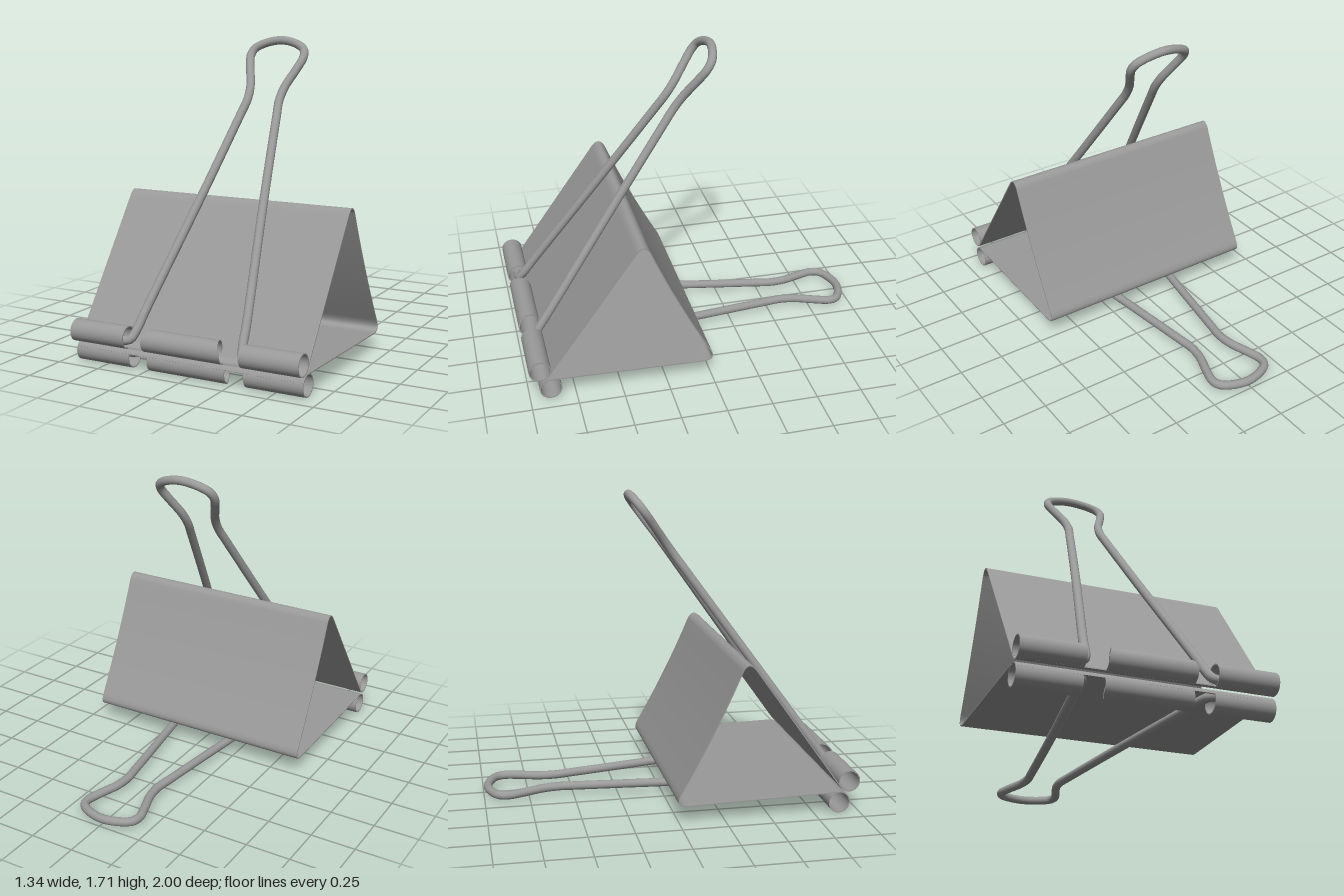
import * as THREE from 'three';

const HALF = 0.67;      // half width of the clip
const R = 0.057;        // radius of the rolled edges
const THICK = 0.006;    // sheet thickness
const WIRE = 0.024;     // handle wire radius
const NOTCH = 65;       // degrees of roll left in the notches
const ROLL = 352;       // degrees of the full roll
const rad = THREE.MathUtils.degToRad;

// rolled edges in (z, y): start angle is where the sheet meets the roll
const upperRoll = { z: 0.941, y: 0.177, start: 215.7, dir: 1 };
const lowerRoll = { z: 0.887, y: 0.06, start: 90, dir: -1 };

function rollPoint(roll, deg) {
  const a = rad(roll.start + roll.dir * deg);
  return [roll.z + R * Math.cos(a), roll.y + R * Math.sin(a)];
}

// solid thin sheet through rows of { p: [z, y], x0, x1 }
function sheet(rows, material, name) {
  const pos = [], index = [];
  // four corners of the cross-section at each row, in loop order
  const corners = rows.map(({ p, x0, x1 }, i) => {
    const a = rows[Math.max(i - 1, 0)].p, b = rows[Math.min(i + 1, rows.length - 1)].p;
    const n = new THREE.Vector2(b[1] - a[1], a[0] - b[0]).setLength(THICK / 2);
    return [[x0, 1], [x1, 1], [x1, -1], [x0, -1]].map(([x, s]) => [x, p[1] + s * n.y, p[0] + s * n.x]);
  });
  const strip = pairs => {
    const start = pos.length / 3;
    pairs.forEach(([u, v], i) => {
      pos.push(...u, ...v);
      if (i > 0) {
        const a = start + 2 * i - 2;
        index.push(a, a + 1, a + 3, a, a + 3, a + 2);
      }
    });
  };
  // two faces and two side edges, then the two ends
  for (let k = 0; k < 4; k++) strip(corners.map(c => [c[k], c[(k + 1) % 4]]));
  const first = corners[0], last = corners[corners.length - 1];
  strip([[first[3], first[2]], [first[0], first[1]]]);
  strip([[last[0], last[1]], [last[3], last[2]]]);

  const geo = new THREE.BufferGeometry();
  geo.setAttribute('position', new THREE.Float32BufferAttribute(pos, 3));
  geo.setIndex(index);
  geo.computeVertexNormals();
  const mesh = new THREE.Mesh(geo, material);
  mesh.name = name;
  return mesh;
}

// folded triangular body, including the short lips in the notches
function bodyRows() {
  const pts = [];
  for (let d = NOTCH; d > 0; d -= 5) pts.push(rollPoint(upperRoll, d));
  const path = new THREE.Path();
  path.moveTo(...rollPoint(upperRoll, 0));
  path.lineTo(0.415, 0.814);
  path.quadraticCurveTo(0.37, 0.882, 0.335, 0.822);
  path.quadraticCurveTo(0.2, 0.5, 0.008, 0.165);
  path.quadraticCurveTo(-0.032, 0.092, 0.06, 0.097);
  path.lineTo(...rollPoint(lowerRoll, 0));
  path.getPoints(16).forEach(v => pts.push([v.x, v.y]));
  for (let d = 5; d <= NOTCH; d += 5) pts.push(rollPoint(lowerRoll, d));
  return pts.map(p => ({ p, x0: -HALF, x1: HALF }));
}

// one rolled tab; the middle one narrows towards its free edge
function tabRows(roll, x0, x1, taper) {
  const rows = [];
  for (let d = NOTCH; d <= ROLL; d += 5) {
    const u = Math.max(0, (d - 150) / (ROLL - 150));
    const t = taper * Math.sin(u * Math.PI / 2);
    rows.push({ p: rollPoint(roll, d), x0: x0 + t, x1: x1 - t });
  }
  return rows;
}

// wire handle: half outline as [x, t], t running from the hinge to the tip
const outline = [
  [0.4, 0], [0.36, 0], [0.335, 0.005], [0.317, 0.03], [0.302, 0.09],
  [0.28, 0.165], [0.19, 0.46], [0.113, 0.735], [0.099, 0.79], [0.108, 0.838],
  [0.145, 0.898], [0.167, 0.942], [0.155, 0.968], [0.1, 0.988],
];

function makeHandle(name, hinge, tip, material) {
  const at = ([x, t]) => new THREE.Vector3(
    x, THREE.MathUtils.lerp(hinge[1], tip[1], t), THREE.MathUtils.lerp(hinge[0], tip[0], t));
  const half = outline.map(at);
  const mirrored = outline.map(([x, t]) => at([-x, t])).reverse();
  const curve = new THREE.CatmullRomCurve3([...half, at([0, 1]), ...mirrored], false, 'centripetal');
  const group = new THREE.Group();
  group.name = name;
  const wire = new THREE.Mesh(new THREE.TubeGeometry(curve, 260, WIRE, 16), material);
  wire.name = name + 'Wire';
  group.add(wire);
  // flat wire ends
  for (const s of [1, -1]) {
    const cap = new THREE.Mesh(new THREE.CircleGeometry(WIRE, 16), material);
    cap.rotation.y = s * Math.PI / 2;
    cap.position.set(s * 0.4, hinge[1], hinge[0]);
    cap.name = name + 'End';
    group.add(cap);
  }
  return group;
}

export function createModel() {
  const model = new THREE.Group();
  model.name = 'binderClip';
  const steel = new THREE.MeshStandardMaterial({ color: 0x999999, side: THREE.DoubleSide });
  const wire = new THREE.MeshStandardMaterial({ color: 0x999999 });

  model.add(sheet(bodyRows(), steel, 'foldedSheet'));

  for (const [label, roll] of [['upper', upperRoll], ['lower', lowerRoll]]) {
    model.add(sheet(tabRows(roll, 0.34, HALF, 0), steel, label + 'LeftTab'));
    model.add(sheet(tabRows(roll, -HALF, -0.34, 0), steel, label + 'RightTab'));
    model.add(sheet(tabRows(roll, -0.23, 0.23, 0.045), steel, label + 'MiddleTab'));
  }

  model.add(makeHandle('upperHandle', [0.94, 0.158], [-0.153, 1.681], wire));
  model.add(makeHandle('lowerHandle', [0.903, 0.084], [-0.975, 0.034], wire));
  return model;
}
